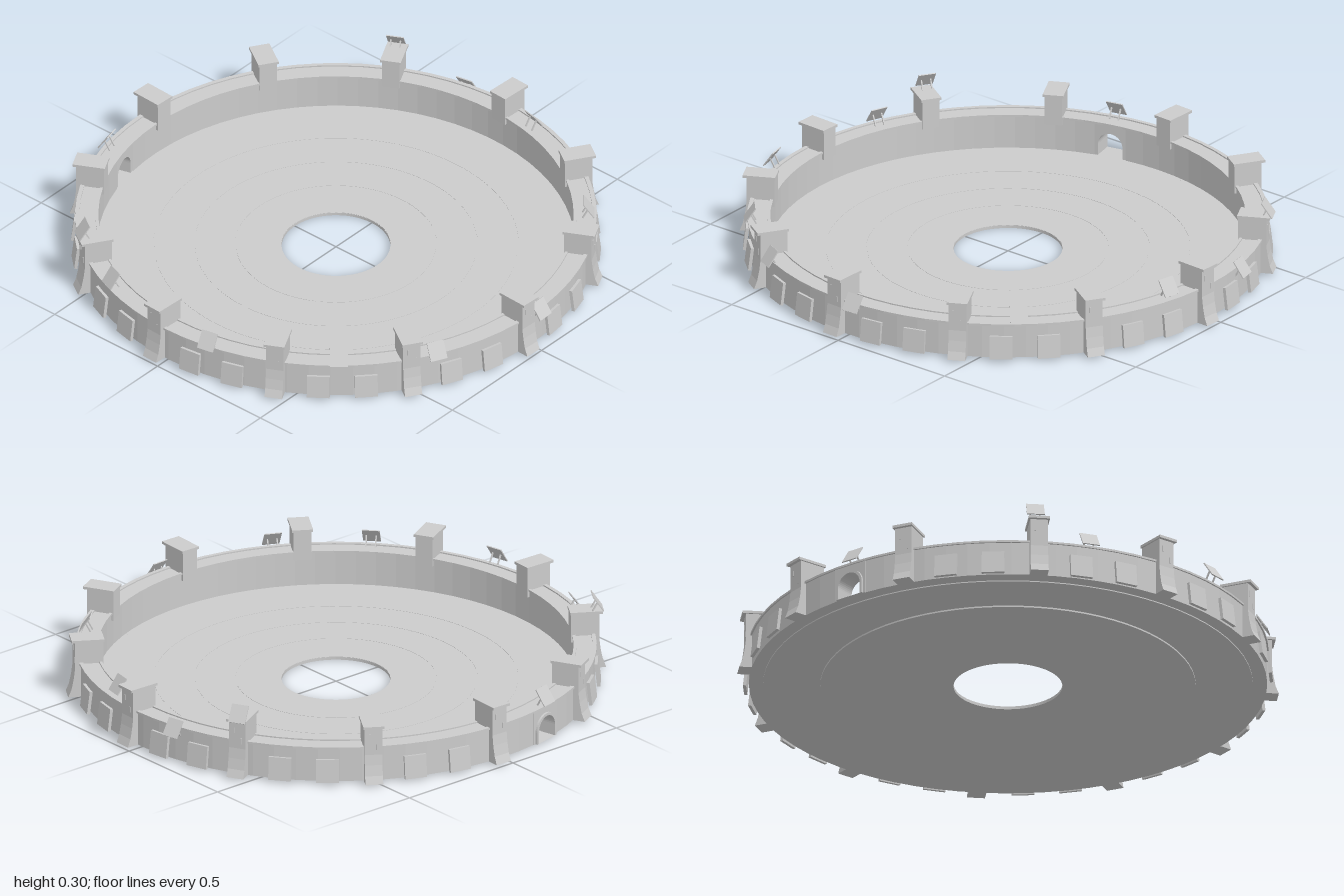
import * as THREE from 'three';

const material = new THREE.MeshStandardMaterial({ color: 0xcccccc, flatShading: true, side: THREE.DoubleSide });
const rad = THREE.MathUtils.degToRad;

function mesh(name, geometry, parent, x = 0, y = 0, z = 0) {
  const m = new THREE.Mesh(geometry, material);
  m.name = name;
  m.position.set(x, y, z);
  parent.add(m);
  return m;
}

// Group turned so that its local +z points outward; angle runs from +x towards +z
function outward(name, angle, parent) {
  const g = new THREE.Group();
  g.name = name;
  g.rotation.y = Math.PI / 2 - angle;
  parent.add(g);
  return g;
}

// Closed ring with a rectangular section
function ringBand(r0, r1, y0, y1, start = 0, length = Math.PI * 2, segments = 72) {
  const p = [[r0, y0], [r1, y0], [r1, y1], [r0, y1], [r0, y0]].map(a => new THREE.Vector2(...a));
  return new THREE.LatheGeometry(p, segments, start, length);
}

// Arched outline, used for the doorway and its frame
function archPath(path, w, h) {
  path.moveTo(-w / 2, 0.01);
  path.lineTo(-w / 2, h - w / 2);
  path.absarc(0, h - w / 2, w / 2, Math.PI, 0, true);
  path.lineTo(w / 2, 0.01);
  path.closePath();
  return path;
}

// Tower side profile (radius, height) with a flared foot, extruded across its width
function towerGeometry(width) {
  const profile = [[0.868, 0.115], [0.94, 0.115], [0.94, 0.01], [0.998, 0.01], [0.986, 0.04],
    [0.978, 0.08], [0.973, 0.12], [0.973, 0.226], [0.868, 0.226]];
  const shape = new THREE.Shape(profile.map(a => new THREE.Vector2(...a)));
  const g = new THREE.ExtrudeGeometry(shape, { depth: width, bevelEnabled: false });
  return g.translate(0, 0, -width / 2).rotateY(-Math.PI / 2);
}

export function createModel() {
  const model = new THREE.Group();
  model.name = 'roundArena';
  const doorAngle = rad(256.7);
  const doorPhi = Math.PI / 2 - doorAngle;
  const half = 0.072;

  // Floor with a central hole, and the lower plate
  mesh('floor', ringBand(0.2, 0.9, 0.006, 0.011), model);
  mesh('lowerPlate', ringBand(0.2, 0.69, 0, 0.0065), model);

  // Floor paving: concentric rings of slightly raised slabs
  const radii = [0.2, 0.37, 0.52, 0.67, 0.87];
  const paving = new THREE.Group();
  paving.name = 'floorPaving';
  model.add(paving);
  for (let i = 0; i < radii.length - 1; i++) {
    const count = 6 + 2 * i, step = Math.PI * 2 / count;
    for (let k = 0; k < count; k++) {
      const gap = 0.003 / radii[i + 1];
      mesh('floorSlab', ringBand(radii[i] + 0.001, radii[i + 1] - 0.002, 0.0105, 0.012,
        k * step + i * 0.3, step - gap, 12), paving);
    }
  }

  // Wall, left open at the doorway, with thin rims along the top
  const sweep = Math.PI * 2 - half * 2;
  mesh('wall', ringBand(0.878, 0.952, 0.01, 0.141, doorPhi + half, sweep), model);
  mesh('outerRim', ringBand(0.943, 0.958, 0.138, 0.146), model);
  mesh('innerRim', ringBand(0.873, 0.884, 0.138, 0.146), model);

  // Doorway block with an arched opening and a raised frame
  const door = outward('doorway', doorAngle, model);
  const block = new THREE.Shape();
  block.moveTo(-0.069, 0.01);
  block.lineTo(0.069, 0.01);
  block.lineTo(0.069, 0.141);
  block.lineTo(-0.069, 0.141);
  block.closePath();
  block.holes.push(archPath(new THREE.Path(), 0.1, 0.105));
  mesh('doorArch', new THREE.ExtrudeGeometry(block, { depth: 0.074, bevelEnabled: false }), door, 0, 0, 0.878);
  const frame = archPath(new THREE.Shape(), 0.12, 0.116);
  frame.holes.push(archPath(new THREE.Path(), 0.1, 0.105));
  mesh('doorFrame', new THREE.ExtrudeGeometry(frame, { depth: 0.012, bevelEnabled: false }), door, 0, 0, 0.948);

  // Twelve towers, with two wall slabs between each pair
  const towerBody = towerGeometry(0.066);
  const cap = new THREE.BoxGeometry(0.078, 0.01, 0.122);
  const slit = new THREE.BoxGeometry(0.006, 0.022, 0.004);
  const slab = new THREE.BoxGeometry(0.084, 0.088, 0.012);
  for (let i = 0; i < 12; i++) {
    const angle = 2.4 + i * 30;
    const tower = outward('tower', rad(angle), model);
    mesh('towerBody', towerBody, tower);
    mesh('towerCap', cap, tower, 0, 0.231, 0.925);
    for (const [x, y] of [[-0.015, 0.19], [0.015, 0.15]]) mesh('towerSlit', slit, tower, x, y, 0.973);
    if (i === 8) continue; // the doorway takes this bay
    for (const offset of [10, 20.5]) {
      const bay = outward('wallSlab', rad(angle + offset), model);
      mesh('slab', slab, bay, 0, 0.054, 0.962).rotation.x = -0.12;
    }
  }

  // Tilted panels on short legs: centre x, y, z
  const panels = [[0.95, 0.14, -0.19], [0.9, 0.18, 0.18], [0.61, 0.18, 0.7], [0.04, 0.15, 0.965],
    [-0.43, 0.167, 0.865], [-0.71, 0.178, 0.63], [-0.95, 0.18, 0.2], [-0.88, 0.18, -0.33],
    [-0.225, 0.18, -0.92], [-0.81, 0.268, -0.53], [0.86, 0.258, -0.455]];
  const sheet = new THREE.BoxGeometry(0.066, 0.07, 0.004);
  const leg = new THREE.BoxGeometry(0.005, 0.044, 0.005);
  for (const [x, y, z] of panels) {
    const stand = outward('tiltedPanel', Math.atan2(z, x), model);
    const r = Math.hypot(x, z);
    mesh('panel', sheet, stand, 0, y, r).rotation.x = -0.6;
    for (const s of [-1, 1]) mesh('panelLeg', leg, stand, s * 0.018, y - 0.018, r - 0.012).rotation.x = 0.5;
  }
  return model;
}
